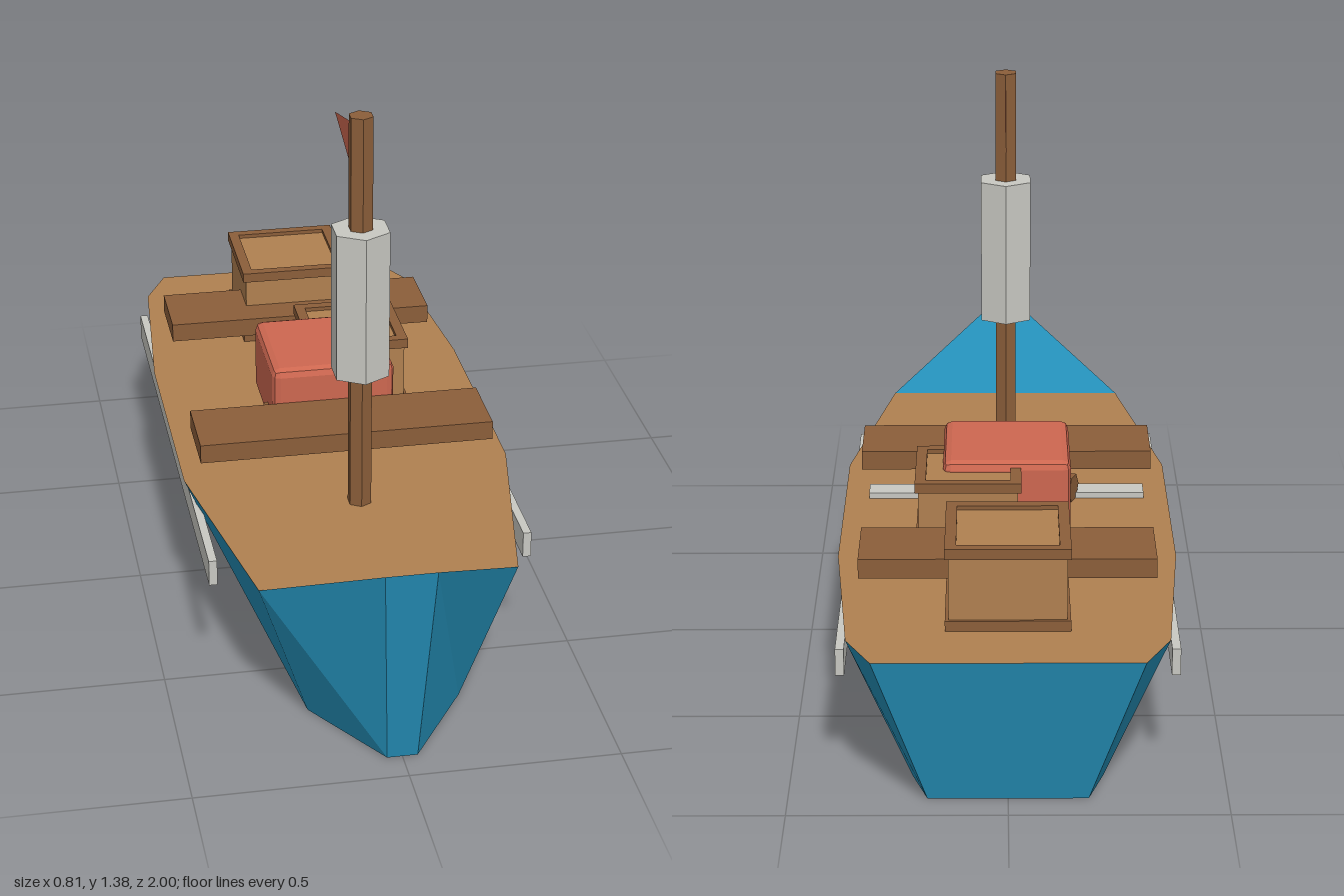
import * as THREE from 'three';
import { RoundedBoxGeometry } from 'three/addons/geometries/RoundedBoxGeometry.js';

const material = (name, color, side = THREE.FrontSide) => {
  const m = new THREE.MeshStandardMaterial({ color, side });
  m.name = name;
  return m;
};

// Flat-faced geometry from a list of convex polygons, each fanned into triangles
function polygons(faces) {
  const pos = [];
  for (const f of faces)
    for (let i = 1; i < f.length - 1; i++) pos.push(...f[0], ...f[i], ...f[i + 1]);
  const g = new THREE.BufferGeometry();
  g.setAttribute('position', new THREE.Float32BufferAttribute(pos, 3));
  g.computeVertexNormals();
  return g;
}

// Faceted cylinder with one flat normal per side
function prism(radius, height, sides) {
  const g = new THREE.CylinderGeometry(radius, radius, height, sides).toNonIndexed();
  g.computeVertexNormals();
  return g;
}

export function createModel() {
  const group = new THREE.Group();
  const blue = material('hull blue', 0x248db5);
  const tan = material('light wood', 0xb08050);
  const brown = material('dark wood', 0x8b5e3a);
  const red = material('red', 0xcd6750, THREE.DoubleSide);
  const grey = material('canvas grey', 0xc8c8c2);

  const add = (name, geometry, mat, x = 0, y = 0, z = 0, parent = group) => {
    const m = new THREE.Mesh(geometry, mat);
    m.name = name;
    m.position.set(x, y, z);
    parent.add(m);
    return m;
  };
  // Box given by its limits on each axis
  const box = (name, mat, [x0, x1], [y0, y1], [z0, z1]) =>
    add(name, new THREE.BoxGeometry(x1 - x0, y1 - y0, z1 - z0), mat,
      (x0 + x1) / 2, (y0 + y1) / 2, (z0 + z1) / 2);

  // Hull: gunwale ring joined to a smaller keel ring
  const deckY = 0.375;
  const half = [[0.06, 0.53, 1], [0.305, deckY, 0.75], [0.405, deckY, 0.2],
    [0.405, deckY, -0.4], [0.365, deckY, -0.88], [0.305, deckY, -1]];
  const rim = [...half, ...half.map(([x, y, z]) => [-x, y, z]).reverse()];
  const keel = rim.map(([x, , z]) => [x * 0.6, 0, z * 0.92]);
  const n = rim.length;
  const sides = rim.map((p, i) => [p, keel[i], keel[(i + 1) % n], rim[(i + 1) % n]]);
  const foredeck = [rim[0], rim[1], rim[n - 2], rim[n - 1]];
  add('hull', polygons([...sides, [...keel].reverse(), foredeck]), blue);
  add('deck', polygons([rim.slice(1, n - 1)]), tan);

  // Rub rails along both sides
  for (const s of [1, -1]) {
    add(s > 0 ? 'leftRail' : 'rightRail', new THREE.BoxGeometry(0.02, 0.065, 1.375), grey,
      s * 0.381, 0.303, -0.155);
  }

  // Mast, furled sail and pennant
  add('mast', prism(0.03, 1, 6), brown, 0, 0.875, 0.375);
  add('furledSail', prism(0.073, 0.37, 6), grey, 0, 0.91, 0.375);
  add('pennant', polygons([[[0, 1.17, 0.35], [0, 1.255, 0.04], [0, 1.337, 0.35]]]), red);

  // Benches and deck batten
  box('frontBench', brown, [-0.365, 0.365], [0.43, 0.478], [0.03, 0.22]);
  box('rearBench', brown, [-0.345, 0.345], [0.43, 0.478], [-0.66, -0.47]);
  box('deckBatten', grey, [-0.345, 0.345], [deckY, 0.39], [-0.03, 0.03]);

  // Chamfered red chest
  const chest = new RoundedBoxGeometry(0.31, 0.19, 0.31, 1, 0.02);
  chest.computeVertexNormals();
  add('chest', chest, red, 0, 0.472, -0.125);

  // Small log lying askew under the front bench
  const log = add('log', prism(0.036, 0.34, 6), brown, -0.01, 0.408, 0.016);
  log.rotation.set(0, -0.36, Math.PI / 2);

  // Crates: body, base trim and open top frame
  const crate = (name, x, z, size, height, base) => {
    const c = new THREE.Group();
    c.name = name;
    c.position.set(x, deckY, z);
    group.add(c);
    const h = size / 2, inner = h - 0.026, trim = 0.025;
    add('crateBody', new THREE.BoxGeometry(size - 0.016, height - 0.01, size - 0.016), tan,
      0, (height - 0.01) / 2, 0, c);
    add('crateBase', new THREE.BoxGeometry(size, base, size), brown, 0, base / 2, 0, c);
    const square = (r, P) => new P([[-r, -r], [r, -r], [r, r], [-r, r]]
      .map(([a, b]) => new THREE.Vector2(a, b)));
    const shape = square(h, THREE.Shape);
    shape.holes.push(square(inner, THREE.Path));
    const frame = new THREE.ExtrudeGeometry(shape, { depth: trim, bevelEnabled: false });
    frame.rotateX(-Math.PI / 2);
    add('crateTopFrame', frame, brown, 0, height - trim, 0, c);
  };
  crate('rearCrate', 0, -0.69, 0.285, 0.2, 0.025);
  crate('middleCrate', 0.093, -0.253, 0.255, 0.178, 0.016);

  return group;
}
